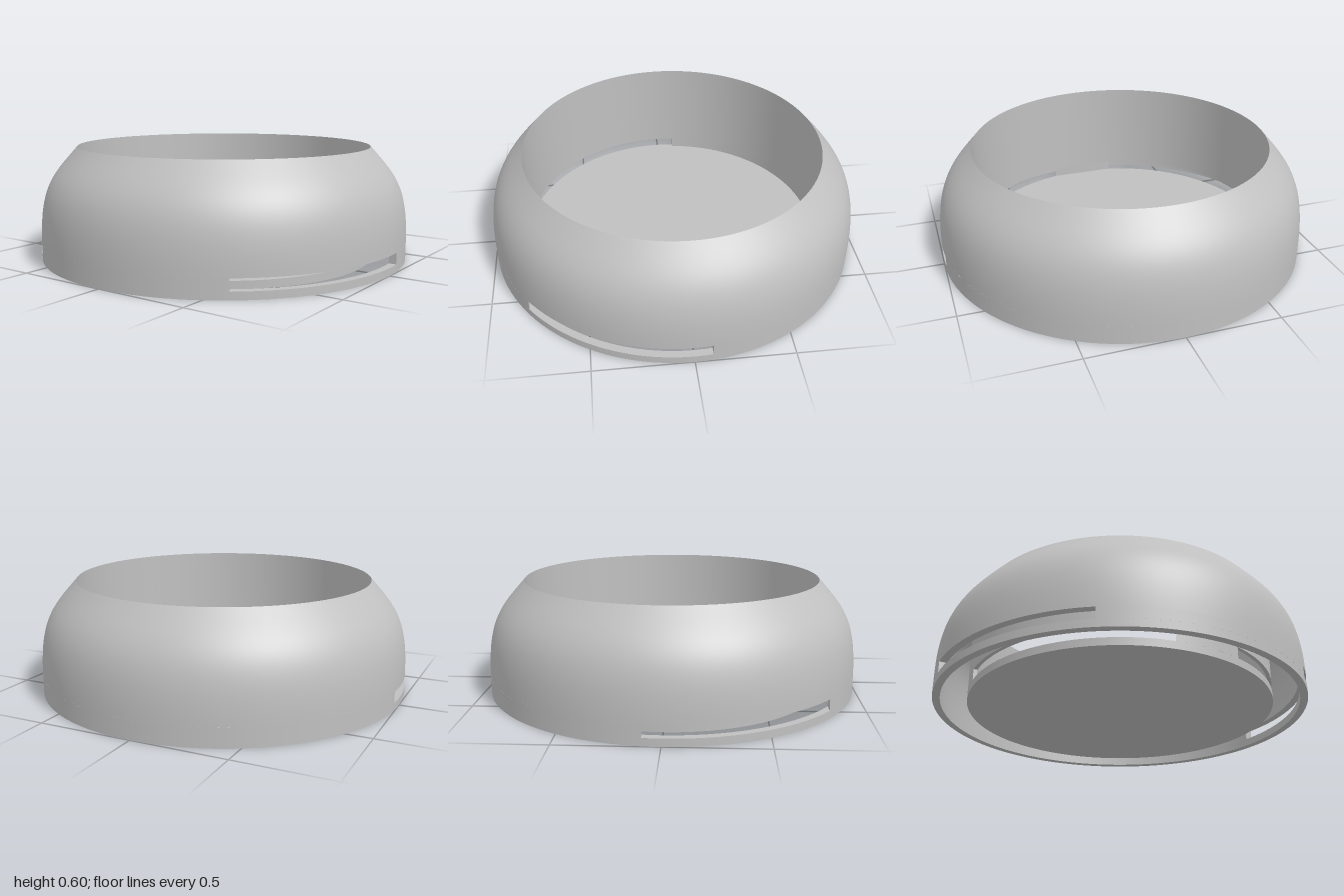
import * as THREE from 'three';
import { toCreasedNormals } from 'three/addons/utils/BufferGeometryUtils.js';

const SEGMENTS = 128;
const FLOOR_TOP = 0.04, SLOT_TOP = 0.1;     // the slot lies between these heights
const SLOT_LEFT = -0.8, SLOT_RIGHT = 0.09;  // and between these x positions
const SHELL = { outer: 1, inner: 0.96 };
const WALL = { outer: 0.82, inner: 0.8 };

const v = (x, y) => new THREE.Vector2(x, y);
const bezier = (...points) => new THREE.CubicBezierCurve(...points).getPoints(24);

// Piece of a ring on one side of the plane x = cut (side 1: x > cut, -1: x < cut)
function ringPiece(outer, inner, cut, side) {
  const a = Math.acos((side * cut) / outer);
  const shape = new THREE.Shape();
  const turn = side > 0 ? 0 : Math.PI;
  shape.absarc(0, 0, outer, turn - a, turn + a, false);
  if (inner > side * cut) {
    const b = Math.acos((side * cut) / inner);
    shape.absarc(0, 0, inner, turn + b, turn - b, true);
  }
  return new THREE.ExtrudeGeometry(shape, {
    depth: SLOT_TOP - FLOOR_TOP, bevelEnabled: false, curveSegments: SEGMENTS,
  }).rotateX(-Math.PI / 2).translate(0, FLOOR_TOP, 0);
}

export function createModel() {
  const model = new THREE.Group();
  model.name = 'slottedBowl';
  const grey = new THREE.MeshStandardMaterial({ color: 0xc0c0c0 });
  grey.name = 'grey';

  const add = (name, geometry) => {
    const mesh = new THREE.Mesh(toCreasedNormals(geometry, 0.4), grey);
    mesh.name = name;
    model.add(mesh);
  };

  // Domed outer shell and straight inner wall, joined at the top, hollow between
  add('upperBody', new THREE.LatheGeometry([
    ...bezier(v(1, SLOT_TOP), v(1, 0.4), v(0.93, 0.45), v(0.8, 0.6)),
    v(WALL.inner, SLOT_TOP),
    v(WALL.outer, SLOT_TOP),
    ...bezier(v(0.82, 0.52), v(0.9, 0.43), v(0.96, 0.38), v(SHELL.inner, SLOT_TOP)),
    v(1, SLOT_TOP),
  ], SEGMENTS));

  // Slotted layer: what remains of the shell and wall either side of the slot
  add('shellBesideSlotLeft', ringPiece(SHELL.outer, SHELL.inner, SLOT_RIGHT, 1));
  add('shellBesideSlotRight', ringPiece(SHELL.outer, SHELL.inner, SLOT_LEFT, -1));
  add('wallBesideSlotLeft', ringPiece(WALL.outer, WALL.inner, SLOT_RIGHT, 1));
  add('wallBesideSlotRight', ringPiece(WALL.outer, WALL.inner, SLOT_LEFT, -1));

  // Rim the shell stands on
  add('bottomRim', new THREE.LatheGeometry([
    v(SHELL.outer, 0), v(SHELL.outer, FLOOR_TOP),
    v(SHELL.inner, FLOOR_TOP), v(SHELL.inner, 0), v(SHELL.outer, 0),
  ], SEGMENTS));

  // Bowl floor
  add('floor', new THREE.CylinderGeometry(WALL.outer, WALL.outer, FLOOR_TOP, SEGMENTS)
    .translate(0, FLOOR_TOP / 2, 0));

  return model;
}
